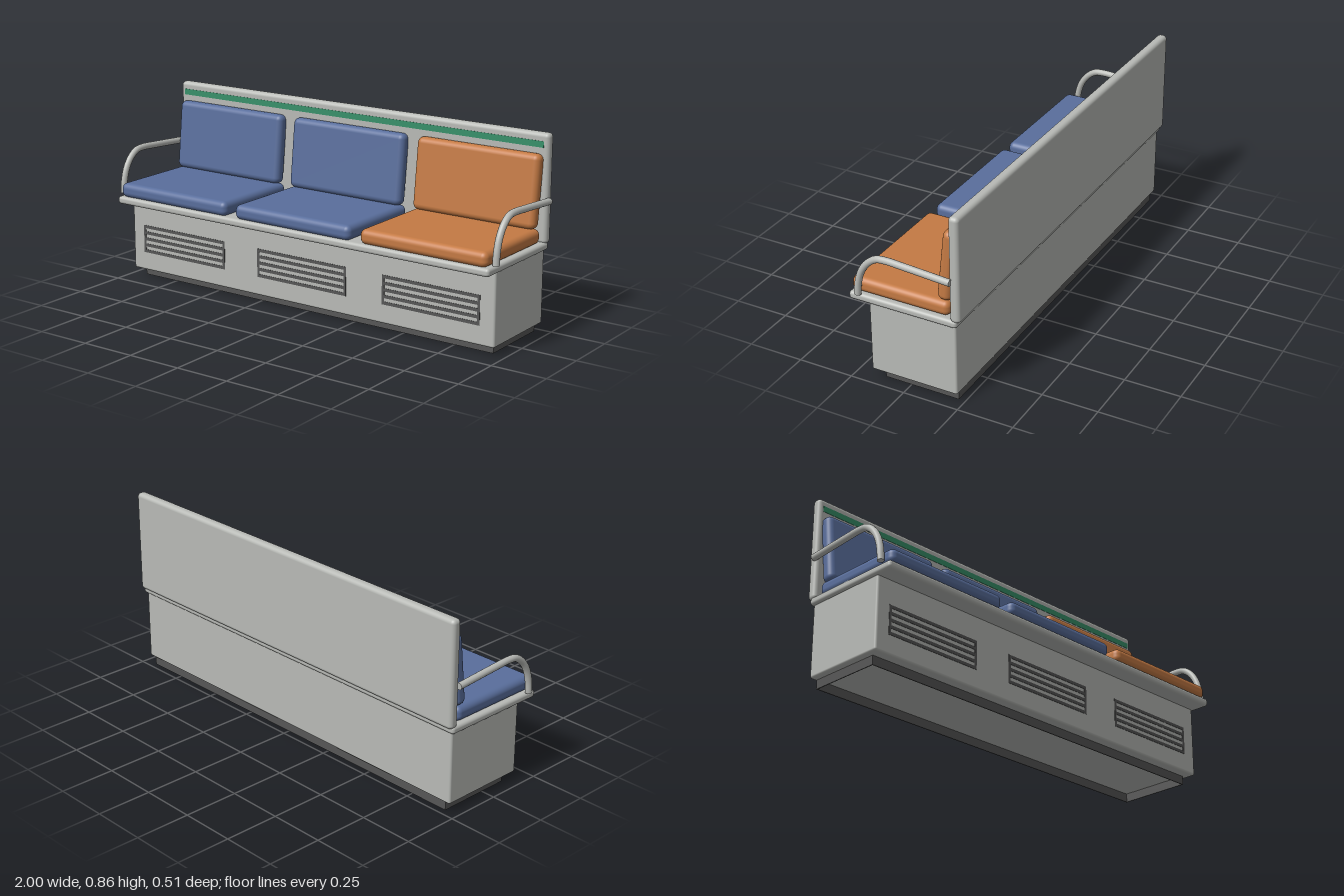
import * as THREE from 'three';
import { RoundedBoxGeometry } from 'three/addons/geometries/RoundedBoxGeometry.js';

const material = (name, color) => {
  const m = new THREE.MeshStandardMaterial({ color });
  m.name = name;
  return m;
};

// Adds a rectangle to a shape or path
const rect = (path, x0, y0, x1, y1) =>
  path.moveTo(x0, y0).lineTo(x1, y0).lineTo(x1, y1).lineTo(x0, y1).closePath();

export function createModel() {
  const model = new THREE.Group();
  model.name = 'bench';
  const grey = material('grey metal', 0xb8bab6);
  const dark = material('dark metal', 0x565656);
  const blue = material('blue upholstery', 0x596e9c);
  const orange = material('orange upholstery', 0xc47a44);
  const green = material('green stripe', 0x38906a);

  const add = (name, geometry, mat, x = 0, y = 0, z = 0) => {
    const mesh = new THREE.Mesh(geometry, mat);
    mesh.name = name;
    mesh.position.set(x, y, z);
    model.add(mesh);
    return mesh;
  };
  const rounded = (w, h, d, r) => new RoundedBoxGeometry(w, h, d, 4, r);

  // Hollow plinth: a thin wall ring, open below
  const plinthShape = rect(new THREE.Shape(), -0.935, -0.171, 0.935, 0.171);
  plinthShape.holes.push(rect(new THREE.Path(), -0.931, -0.167, 0.931, 0.167));
  const plinthGeometry = new THREE.ExtrudeGeometry(plinthShape, { depth: 0.045, bevelEnabled: false });
  plinthGeometry.rotateX(-Math.PI / 2);
  add('plinth', plinthGeometry, dark, 0, 0, -0.049);

  // Body
  add('base', rounded(1.93, 0.335, 0.4, 0.01), grey, 0, 0.2075, -0.03);
  add('seatPlate', rounded(1.96, 0.035, 0.495, 0.014), grey, 0, 0.38, 0.0085);
  add('backPanel', rounded(1.96, 0.472, 0.046, 0.018), grey, 0, 0.624, -0.232);
  add('backStripe', new THREE.BoxGeometry(1.914, 0.027, 0.004), green, 0, 0.813, -0.2095);

  // Vent grille: a thin plate with four long slots
  const ventW = 0.476, ventH = 0.13, bar = 0.014;
  const gap = (ventH - 5 * bar) / 4;
  const ventShape = rect(new THREE.Shape(), -ventW / 2, -ventH / 2, ventW / 2, ventH / 2);
  for (let i = 0; i < 4; i++) {
    const y = -ventH / 2 + bar + i * (bar + gap);
    ventShape.holes.push(rect(new THREE.Path(), -ventW / 2 + 0.012, y, ventW / 2 - 0.012, y + gap));
  }
  const ventGeometry = new THREE.ExtrudeGeometry(ventShape, { depth: 0.004, bevelEnabled: false });

  // Three seats, each with a cushion, a leaning back cushion and a vent below
  const seatGeometry = rounded(0.61, 0.066, 0.448, 0.026);
  const backGeometry = rounded(0.595, 0.316, 0.062, 0.026);
  [blue, blue, orange].forEach((fabric, i) => {
    const x = (i - 1) * 0.66;
    add('seatCushion', seatGeometry, fabric, x, 0.428, 0.027);
    add('backCushion', backGeometry, fabric, x, 0.617, -0.183).rotation.x = -0.11;
    add('vent', ventGeometry, dark, x - 0.002, 0.19, 0.1675);
  });

  // Curved tube armrests with capped ends
  const radius = 0.015;
  for (const side of [-1, 1]) {
    const points = [
      [0.403, 0.207], [0.46, 0.201], [0.515, 0.184], [0.56, 0.153],
      [0.588, 0.112], [0.593, 0.07], [0.589, -0.01], [0.575, -0.22],
    ].map(([y, z]) => new THREE.Vector3(side * 0.985, y, z));
    const curve = new THREE.CatmullRomCurve3(points);
    add('armrest', new THREE.TubeGeometry(curve, 48, radius, 14), grey);
    for (const t of [0, 1]) {
      const p = curve.getPoint(t);
      const outward = curve.getTangent(t).multiplyScalar(t ? 1 : -1);
      add('armrestCap', new THREE.CircleGeometry(radius, 14), grey, p.x, p.y, p.z)
        .quaternion.setFromUnitVectors(new THREE.Vector3(0, 0, 1), outward);
    }
  }
  return model;
}
